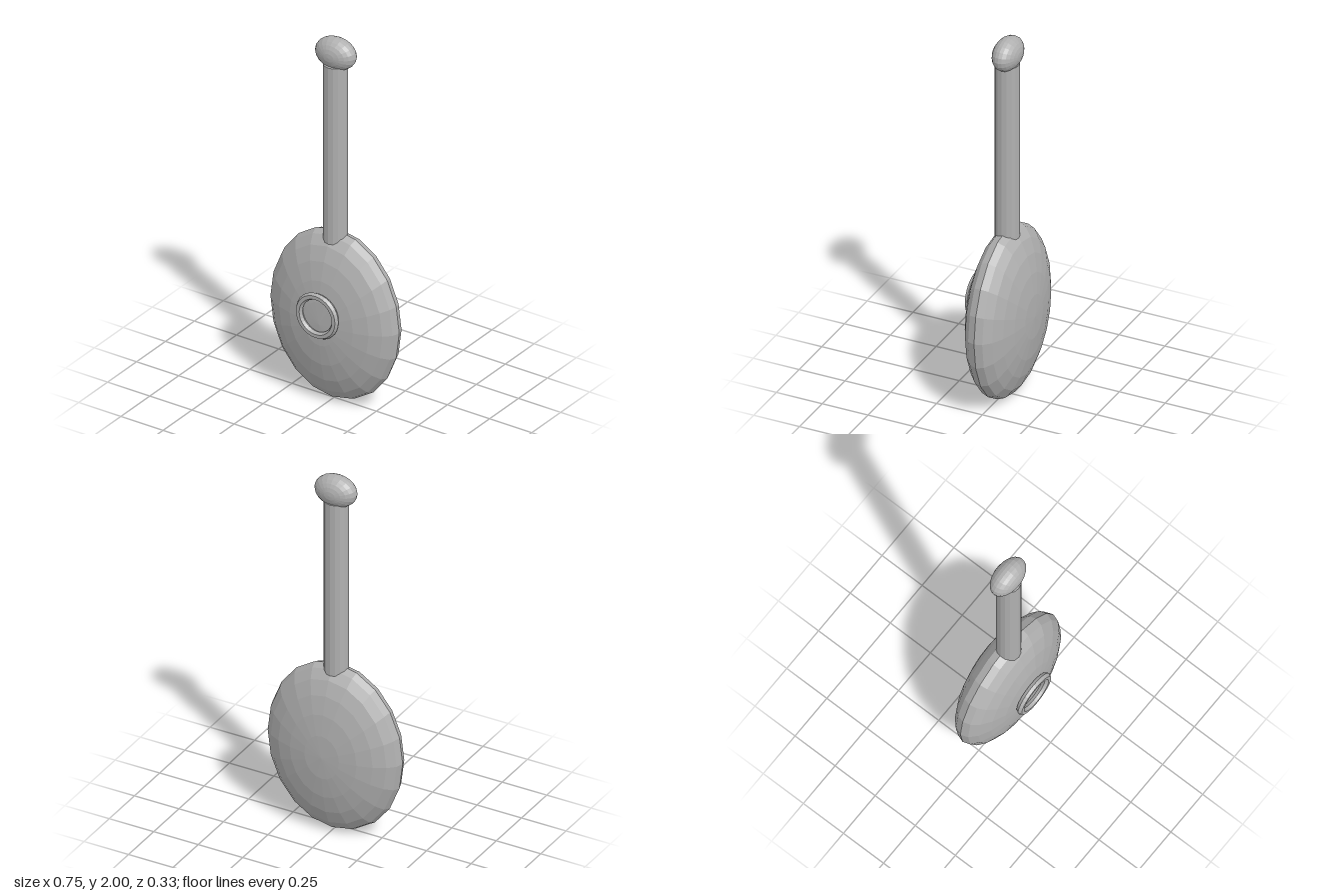
import * as THREE from 'three';

export function createModel() {
  const model = new THREE.Group();
  const grey = new THREE.MeshStandardMaterial({ color: 0xb0b0b0, flatShading: true });
  grey.name = 'plain grey';

  const add = (name, geometry, x, y, z) => {
    const mesh = new THREE.Mesh(geometry, grey);
    mesh.name = name;
    mesh.position.set(x, y, z);
    model.add(mesh);
  };

  // Faceted ellipsoid with its poles facing front and back
  const ellipsoid = (rx, ry, rz) =>
    new THREE.SphereGeometry(1, 20, 12).rotateX(Math.PI / 2).scale(rx, ry, rz);

  // Flattened oval body
  add('body', ellipsoid(0.375, 0.465, 0.148), 0, 0.465, -0.016);

  // Straight neck, sunk into the body
  add('neck', new THREE.CylinderGeometry(0.063, 0.063, 1.06, 16), 0, 1.33, -0.012);

  // Rounded knob on top of the neck
  add('headKnob', ellipsoid(0.115, 0.085, 0.069), 0, 1.915, -0.016);

  // Raised ring around the sound hole
  add('soundHoleRing', new THREE.TorusGeometry(0.106, 0.019, 6, 32), 0, 0.52, 0.1455);

  return model;
}
